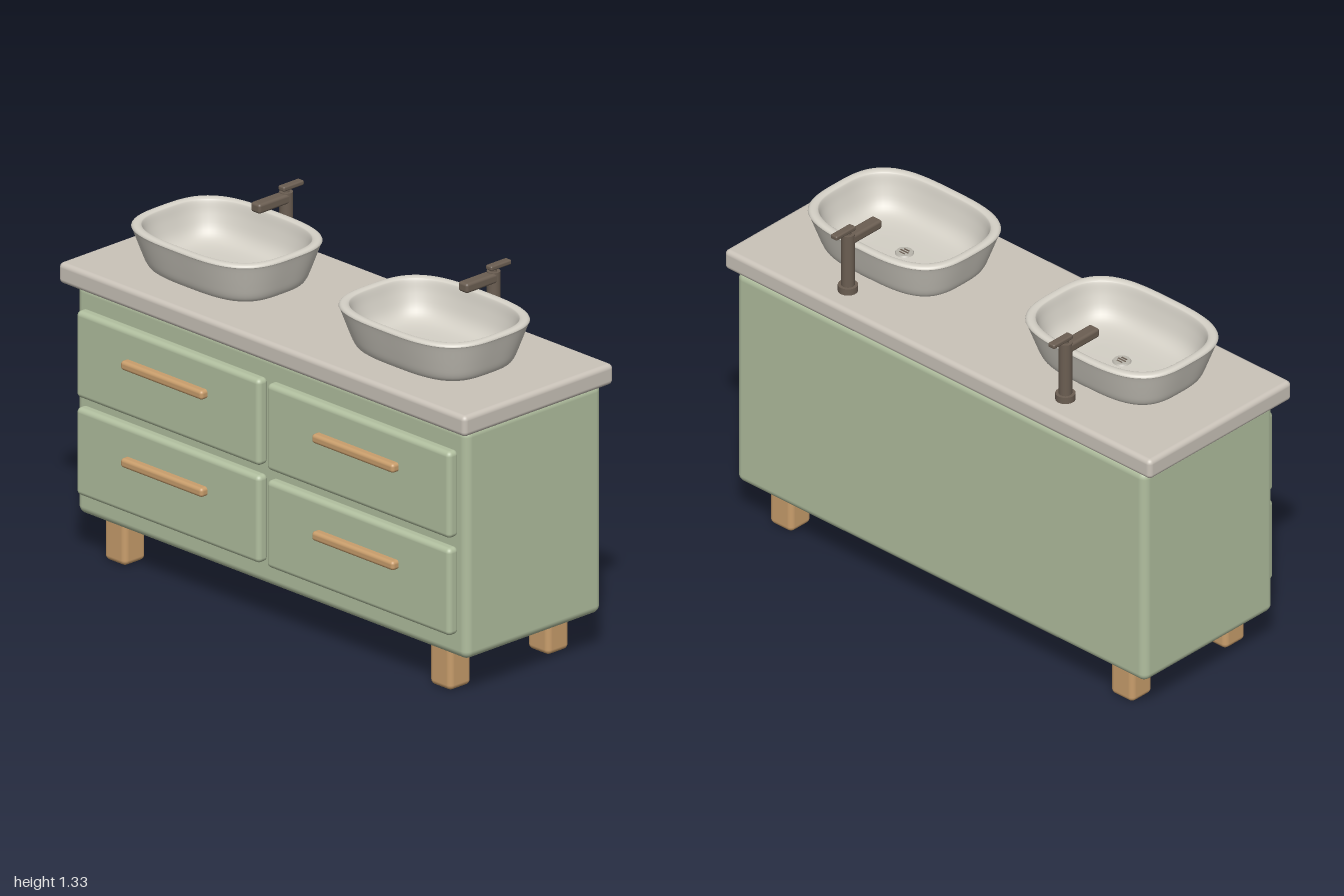
import * as THREE from 'three';
import { RoundedBoxGeometry } from 'three/addons/geometries/RoundedBoxGeometry.js';

const mat = (name, color) => {
  const m = new THREE.MeshStandardMaterial({ color });
  m.name = name;
  return m;
};

// Washbasin shell: superellipse rings swept along a wall profile of (inset, height)
function basinGeometry(halfX, halfZ, power) {
  const profile = new THREE.SplineCurve([
    [0.1, 0], [0.085, 0.001], [0.06, 0.008], [0.045, 0.028], [0.028, 0.075],
    [0.004, 0.148], [0, 0.158], [0.006, 0.166], [0.017, 0.168], [0.028, 0.165],
    [0.034, 0.156], [0.045, 0.115], [0.065, 0.065], [0.095, 0.036], [0.14, 0.025], [0.2, 0.022],
  ].map(([d, y]) => new THREE.Vector2(d, y))).getPoints(60);
  const sides = 80, positions = [], index = [];
  for (const p of profile) {
    for (let j = 0; j < sides; j++) {
      const t = (j / sides) * Math.PI * 2, c = Math.cos(t), s = Math.sin(t);
      const r = (Math.abs(c) ** power + Math.abs(s) ** power) ** (-1 / power);
      positions.push((halfX - p.x) * c * r, p.y, (halfZ - p.x) * s * r);
    }
  }
  const last = profile.length - 1;
  for (let i = 0; i < last; i++) {
    for (let j = 0; j < sides; j++) {
      const k = (j + 1) % sides;
      const a = i * sides + j, b = i * sides + k, c = a + sides, d = b + sides;
      index.push(a, c, b, b, c, d);
    }
  }
  // Close the underside and the inner floor
  const under = positions.length / 3, floor = under + 1;
  positions.push(0, 0, 0, 0, profile[last].y, 0);
  for (let j = 0; j < sides; j++) {
    const k = (j + 1) % sides;
    index.push(under, j, k, floor, last * sides + k, last * sides + j);
  }
  const g = new THREE.BufferGeometry();
  g.setAttribute('position', new THREE.Float32BufferAttribute(positions, 3));
  g.setIndex(index);
  g.computeVertexNormals();
  return g;
}

export function createModel() {
  const root = new THREE.Group();
  root.name = 'doubleVanity';

  const green = mat('sage green', 0xb1bf9f);
  const stone = mat('warm stone', 0xcac3b9);
  const ceramic = mat('ceramic', 0xd4d0c6);
  const wood = mat('light wood', 0xc99e6c);
  const bronze = mat('dark bronze', 0x6b5e52);
  const steel = mat('drain metal', 0xb9b5ac);

  const add = (parent, name, geometry, material, x, y, z) => {
    const m = new THREE.Mesh(geometry, material);
    m.name = name;
    m.position.set(x, y, z);
    parent.add(m);
    return m;
  };
  // Rounded box given by its centre x and its y and z ranges
  const box = (parent, name, material, x, width, [y0, y1], [z0, z1], radius) =>
    add(parent, name, new RoundedBoxGeometry(width, y1 - y0, z1 - z0, 4, radius),
      material, x, (y0 + y1) / 2, (z0 + z1) / 2);

  // Cabinet and countertop
  box(root, 'cabinet', green, 0, 1.92, [0.15, 1.0], [-0.354, 0.298], 0.03);
  box(root, 'countertop', stone, 0, 2, [1.0, 1.077], [-0.37, 0.346], 0.018);

  const basinShape = basinGeometry(0.328, 0.248, 3.2);
  for (const side of [-1, 1]) {
    const label = side > 0 ? 'left' : 'right';

    // Drawers with bar handles
    for (const [level, y0, y1, handleY] of [['Upper', 0.6, 0.92, 0.797], ['Lower', 0.24, 0.563, 0.437]]) {
      box(root, label + level + 'Drawer', green, side * 0.468, 0.902, [y0, y1], [0.292, 0.341], 0.018);
      box(root, label + level + 'Handle', wood, side * 0.47, 0.402,
        [handleY - 0.017, handleY + 0.017], [0.33, 0.37], 0.012);
    }

    // Legs
    for (const [end, z] of [['Front', 0.219], ['Back', -0.249]]) {
      box(root, label + end + 'Leg', wood, side * 0.8, 0.106, [0, 0.18], [z - 0.052, z + 0.052], 0.02);
    }

    // Basin with drain
    const basin = new THREE.Group();
    basin.name = label + 'Basin';
    basin.position.set(side * 0.51, 1.076, 0.014);
    root.add(basin);
    add(basin, 'bowl', basinShape, ceramic, 0, 0, 0);
    add(basin, 'drain', new THREE.CylinderGeometry(0.03, 0.034, 0.006, 32), steel, 0, 0.024, 0);
    for (const z of [-0.012, 0, 0.012]) {
      add(basin, 'drainSlot', new THREE.BoxGeometry(z ? 0.024 : 0.036, 0.002, 0.005), bronze, 0, 0.0275, z);
    }

    // Faucet
    const faucet = new THREE.Group();
    faucet.name = label + 'Faucet';
    faucet.position.set(side * 0.51, 0, -0.27);
    root.add(faucet);
    add(faucet, 'base', new THREE.CylinderGeometry(0.035, 0.035, 0.026, 32), bronze, 0, 1.089, 0);
    add(faucet, 'stem', new THREE.CylinderGeometry(0.024, 0.024, 0.23, 32), bronze, 0, 1.192, 0);
    add(faucet, 'neck', new THREE.CylinderGeometry(0.012, 0.012, 0.02, 24), bronze, 0, 1.313, 0);
    box(faucet, 'spout', bronze, 0, 0.046, [1.268, 1.304], [-0.01, 0.15], 0.01);
    box(faucet, 'lever', bronze, 0, 0.03, [1.314, 1.332], [-0.073, 0.025], 0.006);
  }
  return root;
}
